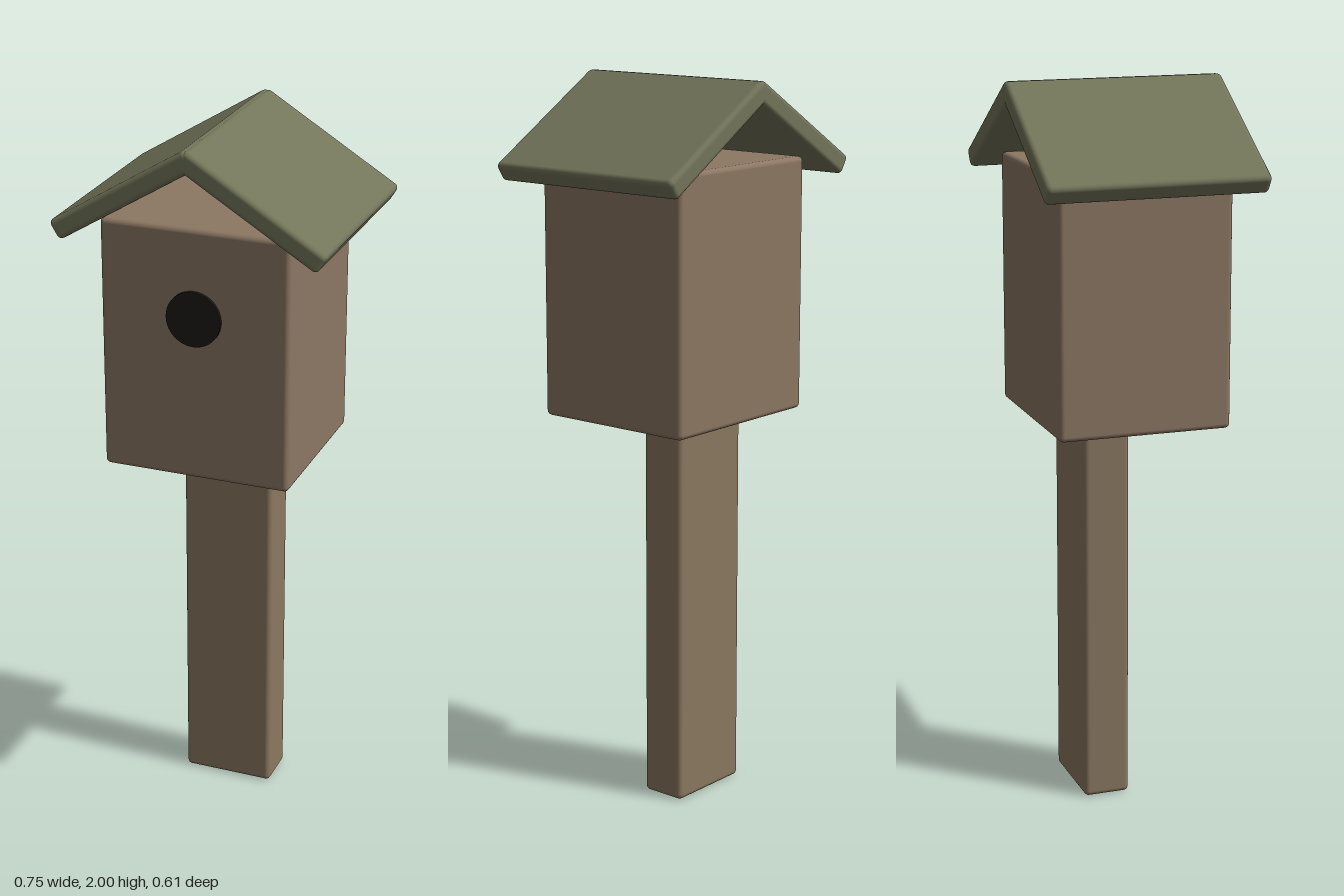
import * as THREE from 'three';
import { RoundedBoxGeometry } from 'three/addons/geometries/RoundedBoxGeometry.js';

const material = (color) => new THREE.MeshStandardMaterial({ color });

function board(name, size, position, radius, mat) {
  const mesh = new THREE.Mesh(new RoundedBoxGeometry(...size, 3, radius), mat);
  mesh.name = name;
  mesh.position.set(...position);
  return mesh;
}

export function createModel() {
  const model = new THREE.Group();
  model.name = 'birdhouse';
  const roofMat = material(0x73755a);

  // Post behind the centre line, carrying the nesting box
  model.add(board('post', [0.26, 1.08, 0.13], [0, 0.54, -0.065], 0.014, material(0x8a7860)));
  model.add(board('nestBox', [0.524, 0.7, 0.482], [0, 1.43, 0.001], 0.014, material(0x8c7763)));

  // Dark entrance disc, slightly proud of the front
  const hole = new THREE.Mesh(new THREE.CylinderGeometry(0.076, 0.076, 0.02, 40), material(0x1c1b19));
  hole.name = 'entranceHole';
  hole.rotation.x = Math.PI / 2;
  hole.position.set(0, 1.537, 0.24);
  model.add(hole);

  // Two sloping roof panels whose upper corners meet at the ridge
  const pitch = 0.55, length = 0.445, thickness = 0.057;
  for (const side of [1, -1]) {
    const pivot = new THREE.Group();
    pivot.name = side > 0 ? 'leftRoof' : 'rightRoof';
    pivot.position.y = 2.006;
    pivot.rotation.z = -side * pitch;
    pivot.add(board('roofPanel', [length, thickness, 0.61],
      [side * length / 2, -thickness / 2, 0], 0.014, roofMat));
    model.add(pivot);
  }
  return model;
}
